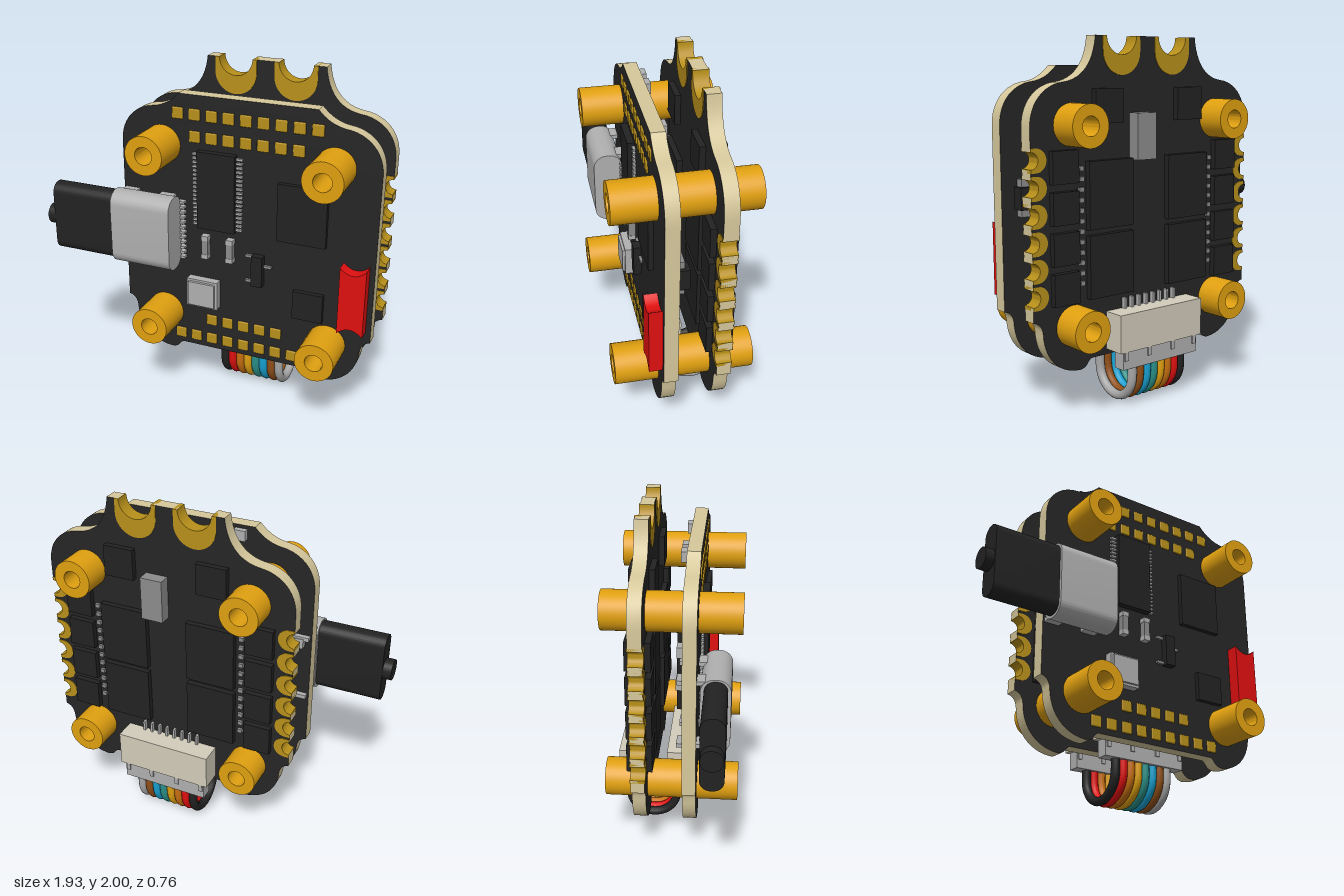
import * as THREE from 'three';
import { toCreasedNormals } from 'three/addons/utils/BufferGeometryUtils.js';
import { RoundedBoxGeometry } from 'three/addons/geometries/RoundedBoxGeometry.js';

const mat = (color) => new THREE.MeshStandardMaterial({ color });
const M = {
  mask: mat(0x262626), edge: mat(0xd6c89c), gold: mat(0xe0a010), pad: mat(0xb8901a),
  black: mat(0x222222), silver: mat(0xb0b0b0), red: mat(0xe01010), beige: mat(0xd2ccba), grey: mat(0x8c8c8c),
};
const CX = 0.215;                       // centre line of the boards
const FRONT = [0.07, 0.147];            // z range of each board
const BACK = [-0.213, -0.135];
const PI = Math.PI;

export function createModel() {
  const root = new THREE.Group();

  function add(name, geo, material, parent = root) {
    const m = new THREE.Mesh(geo, material);
    m.name = name;
    parent.add(m);
    return m;
  }
  // box given by its ranges on the three axes
  function box(name, x0, x1, y0, y1, z0, z1, material) {
    const m = add(name, new THREE.BoxGeometry(x1 - x0, y1 - y0, z1 - z0), material);
    m.position.set((x0 + x1) / 2, (y0 + y1) / 2, (z0 + z1) / 2);
    return m;
  }
  function extrude(shape, z0, z1, curveSegments = 16) {
    const g = new THREE.ExtrudeGeometry(shape, { depth: z1 - z0, bevelEnabled: false, curveSegments });
    g.translate(0, 0, z0);
    return toCreasedNormals(g, 0.6);
  }

  // circuit board: half an outline mirrored about the centre line
  const notchYs = [0.68, 0.82, 0.96, 1.1, 1.24, 1.38];
  function board(name, [z0, z1], notched) {
    const p = new THREE.Path();
    p.moveTo(0.385, 0.3);
    p.bezierCurveTo(0.415, 0.3, 0.41, 0.25, 0.47, 0.25);
    p.bezierCurveTo(0.61, 0.26, 0.69, 0.36, 0.695, 0.49);
    p.bezierCurveTo(0.7, 0.53, 0.72, 0.55, 0.75, 0.555);
    if (notched) for (const y of notchYs) {
      p.lineTo(0.75, y - 0.045);
      p.absarc(0.75, y, 0.045, -PI / 2, PI / 2, true);
    }
    p.lineTo(0.75, 1.54);
    p.bezierCurveTo(0.75, 1.67, 0.66, 1.755, 0.545, 1.765);
    if (notched) {
      p.bezierCurveTo(0.43, 1.78, 0.36, 1.86, 0.345, 2);
      p.lineTo(0.275, 2);
      p.absarc(0.175, 2, 0.1, 0, PI, true);
    } else {
      p.bezierCurveTo(0.48, 1.775, 0.43, 1.81, 0.395, 1.85);
    }
    const half = p.getPoints(12);
    const other = half.map((v) => new THREE.Vector2(-v.x, v.y)).reverse();
    const s = new THREE.Shape([...half, ...other]);
    for (const x of [-0.5, 0.5]) for (const y of [0.5, 1.55]) {
      s.holes.push(new THREE.Path().absarc(x, y, 0.1, 0, 2 * PI, true));
    }
    add(name, extrude(s, z0, z1), [M.mask, M.edge]).position.x = CX;
  }
  board('frontBoard', FRONT, false);
  board('backBoard', BACK, true);

  // plated pads that wrap the notches of the back board
  function notchPad(name, x, y, turn, rIn, rOut, len) {
    const s = new THREE.Shape();
    s.moveTo(0, -rOut);
    s.lineTo(-len, -rOut);
    s.absarc(-len, 0, rOut, -PI / 2, PI / 2, true);
    s.lineTo(0, rOut);
    s.lineTo(0, rIn);
    s.absarc(0, 0, rIn, PI / 2, 1.5 * PI, false);
    const m = add(name, extrude(s, BACK[0] - 0.004, BACK[1] + 0.004), M.pad);
    m.position.set(CX + x, y, 0);
    m.rotation.z = turn;
  }
  for (const s of [1, -1]) {
    for (const y of notchYs) notchPad('motorPad', s * 0.75, y, s > 0 ? 0 : PI, 0.043, 0.062, 0.03);
    notchPad('powerPad', s * 0.175, 2, PI / 2, 0.098, 0.123, 0.08);
  }

  // hollow standoffs through both boards
  for (const x of [-0.5, 0.5]) for (const y of [0.5, 1.55]) {
    const s = new THREE.Shape().absarc(0, 0, 0.111, 0, 2 * PI, false);
    s.holes.push(new THREE.Path().absarc(0, 0, 0.051, 0, 2 * PI, true));
    add('standoff', extrude(s, -0.38, 0.38, 24), M.gold).position.set(CX + x, y, 0);
  }

  // rows of solder pads on the front board: height, count
  for (const [y, n] of [[1.74, 9], [1.615, 7], [0.49, 5], [0.365, 9]]) {
    for (let i = 0; i < n; i++) {
      const m = add('solderPad', new RoundedBoxGeometry(0.066, 0.066, 0.016, 2, 0.007), M.pad);
      m.position.set(0.213 + (i - (n - 1) / 2) * 0.1, y, FRONT[1]);
    }
  }

  // front face components
  const f = FRONT[1];
  box('memoryChip', -0.06, 0.165, 1.09, 1.545, f, 0.186, M.black);
  for (let i = 0; i < 18; i++) {
    const y = 1.105 + i * 0.0245;
    for (const x of [-0.078, 0.183]) box('chipPin', x - 0.018, x + 0.018, y - 0.006, y + 0.006, f, 0.162, M.silver);
  }
  box('largeChip', 0.41, 0.69, 1.09, 1.425, f, 0.175, M.black);
  box('smallChip', 0.515, 0.69, 0.63, 0.8, f, 0.175, M.black);
  box('sensorBase', -0.125, 0.065, 0.59, 0.765, f, 0.195, M.silver);
  box('sensorLid', -0.112, 0.052, 0.603, 0.752, 0.195, 0.21, M.silver);
  for (const x of [-0.015, 0.135]) {
    box('capacitorBody', x - 0.019, x + 0.019, 0.93, 1.02, f, 0.186, M.grey);
    for (const y of [0.918, 1.032]) box('capacitorEnd', x - 0.021, x + 0.021, y - 0.014, y + 0.014, f, 0.188, M.silver);
  }
  box('transistor', 0.27, 0.335, 0.79, 0.975, f, 0.19, M.black);
  for (const [x, y] of [[0.248, 0.805], [0.248, 0.96], [0.357, 0.91]]) {
    box('transistorLead', x - 0.023, x + 0.023, y - 0.008, y + 0.008, f, 0.162, M.grey);
  }

  // red part with concave ends
  const red = new THREE.Shape();
  red.moveTo(-0.073, -0.2);
  red.quadraticCurveTo(0, -0.13, 0.073, -0.2);
  red.lineTo(0.073, 0.2);
  red.quadraticCurveTo(0, 0.13, -0.073, 0.2);
  add('redComponent', extrude(red, f, 0.22), M.red).position.set(0.862, 0.82, 0);

  // rounded bar along x, for the plug and its socket
  function barAlongX(name, x0, x1, y0, y1, z0, z1, r, material) {
    const w = (z1 - z0) / 2 - r, h = (y1 - y0) / 2 - r;
    const s = new THREE.Shape();
    s.absarc(w, h, r, 0, PI / 2, false);
    s.absarc(-w, h, r, PI / 2, PI, false);
    s.absarc(-w, -h, r, PI, 1.5 * PI, false);
    s.absarc(w, -h, r, 1.5 * PI, 2 * PI, false);
    const m = add(name, extrude(s, 0, x1 - x0), material);
    m.rotation.y = -PI / 2;
    m.position.set(x1, (y0 + y1) / 2, (z0 + z1) / 2);
  }
  barAlongX('socketShell', -0.535, -0.17, 0.84, 1.28, 0.165, 0.33, 0.075, M.silver);
  barAlongX('plugBody', -0.92, -0.535, 0.855, 1.27, 0.185, 0.312, 0.058, M.black);
  barAlongX('plugCable', -0.97, -0.92, 1.0, 1.12, 0.188, 0.308, 0.058, M.black);
  for (const x of [-0.48, -0.25]) for (const y of [0.87, 1.25]) {
    box('socketTab', x - 0.045, x + 0.045, y - 0.012, y + 0.012, 0.04, 0.22, M.silver);
  }
  for (let i = 0; i < 12; i++) {
    const y = 0.885 + i * 0.031;
    box('socketPin', -0.18, -0.143, y - 0.007, y + 0.007, f, 0.18, M.silver);
  }

  // parts on the rear face of the front board
  const r = FRONT[0];
  box('processor', 0.07, 0.59, 0.76, 1.28, 0.0, 0.055, M.black);
  for (let i = 0; i < 16; i++) {
    const d = (i - 7.5) * 0.029;
    for (const s of [-1, 1]) {
      const x = 0.33 + s * 0.28, y = 1.02 + s * 0.28;
      box('processorPin', x - 0.025, x + 0.025, 1.013 + d, 1.027 + d, 0.045, r, M.silver);
      box('processorPin', 0.323 + d, 0.337 + d, y - 0.025, y + 0.025, 0.045, r, M.silver);
    }
  }
  box('buttonBody', 0.75, 0.87, 1.06, 1.26, 0.025, r, M.grey);
  box('buttonTop', 0.82, 0.89, 1.1, 1.22, 0.0, 0.065, M.black);
  for (const [x, y] of [[-0.4, 1.38], [-0.46, 1.22], [-0.1, 1.8], [0.02, 1.8], [0.45, 1.45], [0.45, 1.78]]) {
    box('rearCapacitor', x - 0.035, x + 0.035, y - 0.03, y + 0.03, 0.035, r, M.silver);
  }

  // power chips on both faces of the back board
  for (const [z0, z1] of [[-0.247, BACK[0]], [BACK[1], -0.102]]) {
    for (const s of [-1, 1]) {
      const chip = (dx, y, w, h) => box('powerChip', CX + s * dx - w / 2, CX + s * dx + w / 2, y - h / 2, y + h / 2, z0, z1, M.black);
      chip(0.28, 1.64, 0.18, 0.18);
      chip(0.27, 1.18, 0.29, 0.36);
      chip(0.27, 0.8, 0.29, 0.34);
      for (const y of [1.34, 1.13, 0.92, 0.71]) chip(0.56, y, 0.16, 0.17);
      for (let i = 0; i < 12; i++) {
        const x = CX + s * 0.45, y = 0.72 + i * 0.055;
        const zc = z0 < -0.2 ? BACK[0] : BACK[1];
        box('resistor', x - 0.014, x + 0.014, y - 0.012, y + 0.012, zc - 0.016, zc + 0.016, M.grey);
      }
    }
  }
  box('tallCapacitor', 0.21, 0.34, 1.35, 1.6, -0.285, BACK[0], M.grey);

  // cable connectors on the rear face of each board
  for (const [zc, face] of [[0, FRONT[0]], [-0.29, BACK[0]]]) {
    box('connectorHousing', -0.075, 0.505, 0.33, 0.54, zc - 0.05, face, M.beige);
    box('connectorPlug', -0.05, 0.48, 0.23, 0.34, zc - 0.037, zc + 0.037, M.silver);
    for (const x of [-0.03, 0.13, 0.3, 0.46]) box('plugRib', x - 0.012, x + 0.012, 0.28, 0.34, zc - 0.045, zc + 0.045, M.silver);
    for (let i = 0; i < 8; i++) {
      const x = 0.04 + i * 0.05;
      box('connectorPin', x - 0.007, x + 0.007, 0.54, 0.6, face - 0.025, face + 0.002, M.silver);
    }
  }

  // looped ribbon of wires between the connectors
  const wireColors = [0x222222, 0xe01010, 0xc87010, 0xe0a010, 0x2a9088, 0x18a0d0, 0x905018, 0xa8a8a8];
  wireColors.forEach((c, i) => {
    const pts = [new THREE.Vector3(0, 0.25, 0)];
    for (let k = 0; k <= 12; k++) {
      const a = (k / 12) * PI;
      pts.push(new THREE.Vector3(0, 0.172 - 0.145 * Math.sin(a), -0.145 + 0.145 * Math.cos(a)));
    }
    pts.push(new THREE.Vector3(0, 0.25, -0.29));
    const tube = new THREE.TubeGeometry(new THREE.CatmullRomCurve3(pts), 40, 0.026, 12);
    add('wire', tube, mat(c)).position.x = 0.04 + i * 0.05;
  });

  return root;
}
